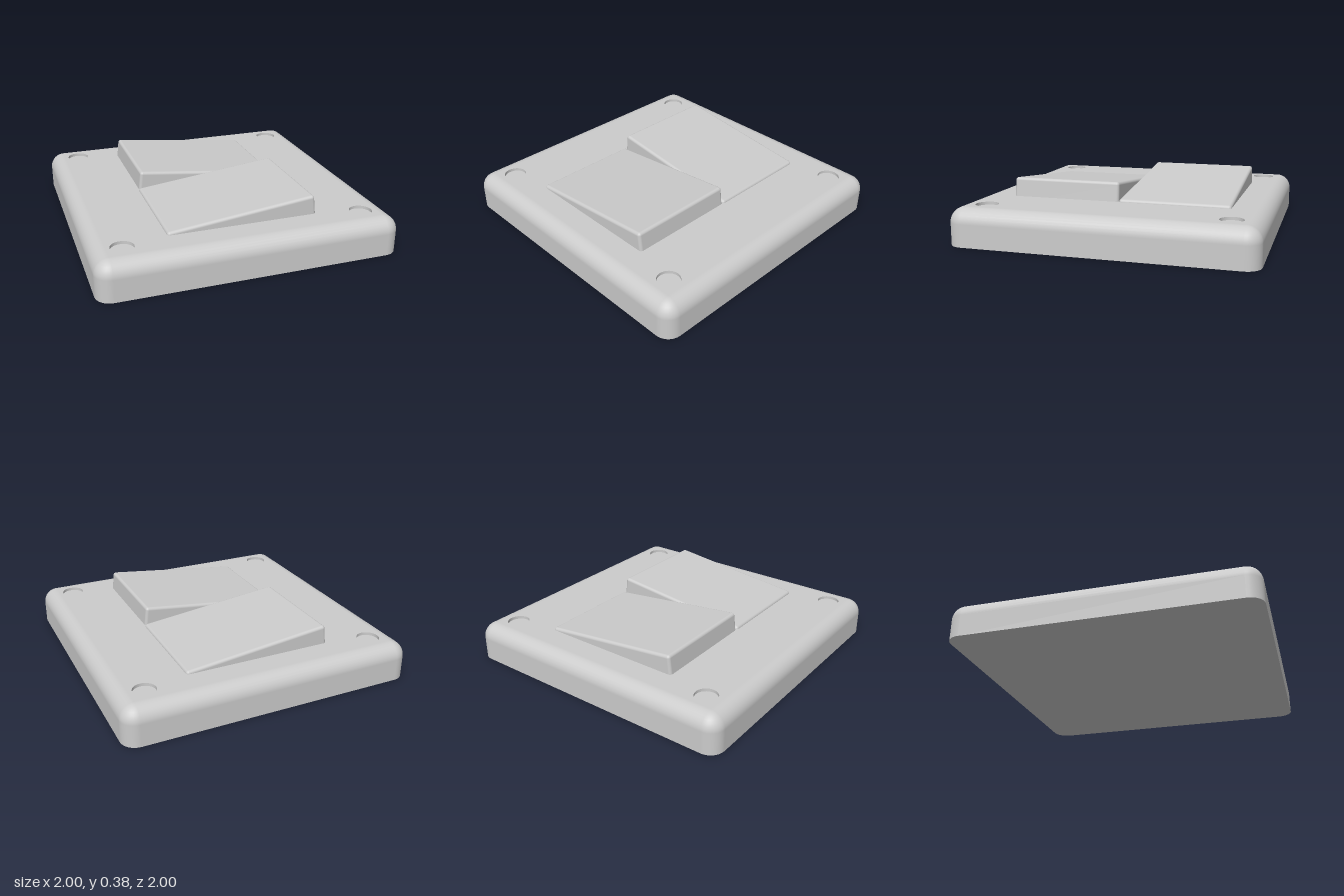
import * as THREE from 'three';
import { RoundedBoxGeometry } from 'three/addons/geometries/RoundedBoxGeometry.js';

const HEIGHT = 0.25, ROUND = 0.1, CORE = 0.9;
const HOLE_RADIUS = 0.075, HOLE_AT = 0.8, HOLE_DEPTH = 0.02;
const grey = new THREE.MeshStandardMaterial({ color: 0xcccccc });
const inside = new THREE.MeshStandardMaterial({ color: 0xcccccc, side: THREE.DoubleSide });

function part(group, name, geometry, material = grey) {
  const mesh = new THREE.Mesh(geometry, material);
  mesh.name = name;
  group.add(mesh);
  return mesh;
}

// Side wall: a rounded square outline lofted up a profile that rolls into the top
function rimGeometry() {
  const steps = 8, arc = 8;
  const profile = [[ROUND, 0, 0]]; // radius of corner, y, angle of normal
  for (let i = 0; i <= arc; i++) {
    const a = (i / arc) * Math.PI / 2;
    profile.push([ROUND * Math.cos(a), HEIGHT - ROUND + ROUND * Math.sin(a), a]);
  }
  const positions = [], normals = [], index = [];
  const ring = 4 * (steps + 1);
  for (const [r, y, tilt] of profile) {
    for (let c = 0; c < 4; c++) {
      const cx = c === 0 || c === 3 ? CORE : -CORE;
      const cz = c < 2 ? CORE : -CORE;
      for (let s = 0; s <= steps; s++) {
        const a = (c + s / steps) * Math.PI / 2;
        positions.push(cx + r * Math.cos(a), y, cz + r * Math.sin(a));
        normals.push(Math.cos(a) * Math.cos(tilt), Math.sin(tilt), Math.sin(a) * Math.cos(tilt));
      }
    }
  }
  for (let j = 0; j < profile.length - 1; j++) {
    for (let i = 0; i < ring; i++) {
      const a = j * ring + i, b = j * ring + (i + 1) % ring;
      index.push(a, a + ring, b, b, a + ring, b + ring);
    }
  }
  const geometry = new THREE.BufferGeometry();
  geometry.setAttribute('position', new THREE.Float32BufferAttribute(positions, 3));
  geometry.setAttribute('normal', new THREE.Float32BufferAttribute(normals, 3));
  geometry.setIndex(index);
  return geometry;
}

// Flat square outline, optionally with rounded corners
function squareShape(half, r) {
  const shape = new THREE.Shape();
  const k = half - r;
  [[k, k], [-k, k], [-k, -k], [k, -k]].forEach(([x, y], i) => {
    if (r > 0) shape.absarc(x, y, r, i * Math.PI / 2, (i + 1) * Math.PI / 2, false);
    else if (i === 0) shape.moveTo(x, y);
    else shape.lineTo(x, y);
  });
  shape.closePath();
  return shape;
}

export function createModel() {
  const model = new THREE.Group();
  model.name = 'doubleRockerSwitch';

  // Wall plate
  const plate = new THREE.Group();
  plate.name = 'plate';
  model.add(plate);
  part(plate, 'plateRim', rimGeometry());
  part(plate, 'plateBack', new THREE.ShapeGeometry(squareShape(1, ROUND), 8).rotateX(Math.PI / 2));

  // Plate face with four shallow screw recesses
  const face = squareShape(CORE, 0);
  for (const x of [-HOLE_AT, HOLE_AT]) {
    for (const z of [-HOLE_AT, HOLE_AT]) {
      face.holes.push(new THREE.Path().absarc(x, z, HOLE_RADIUS, 0, Math.PI * 2, true));
      const wall = new THREE.CylinderGeometry(HOLE_RADIUS, HOLE_RADIUS, HOLE_DEPTH, 32, 1, true);
      part(plate, 'recessWall', wall, inside).position.set(x, HEIGHT - HOLE_DEPTH / 2, z);
      const floor = new THREE.CircleGeometry(HOLE_RADIUS, 32).rotateX(-Math.PI / 2);
      part(plate, 'recessFloor', floor).position.set(x, HEIGHT - HOLE_DEPTH, z);
    }
  }
  part(plate, 'plateFace', new THREE.ShapeGeometry(face, 16).rotateX(-Math.PI / 2)).position.y = HEIGHT;

  // Two rockers tipped in opposite directions
  for (const side of [1, -1]) {
    const rocker = part(model, side > 0 ? 'frontRocker' : 'backRocker',
      new RoundedBoxGeometry(1, 0.2, 0.748, 4, 0.02));
    rocker.position.set(0, 0.223, side * 0.375);
    rocker.rotation.z = side * 0.113;
  }
  return model;
}
